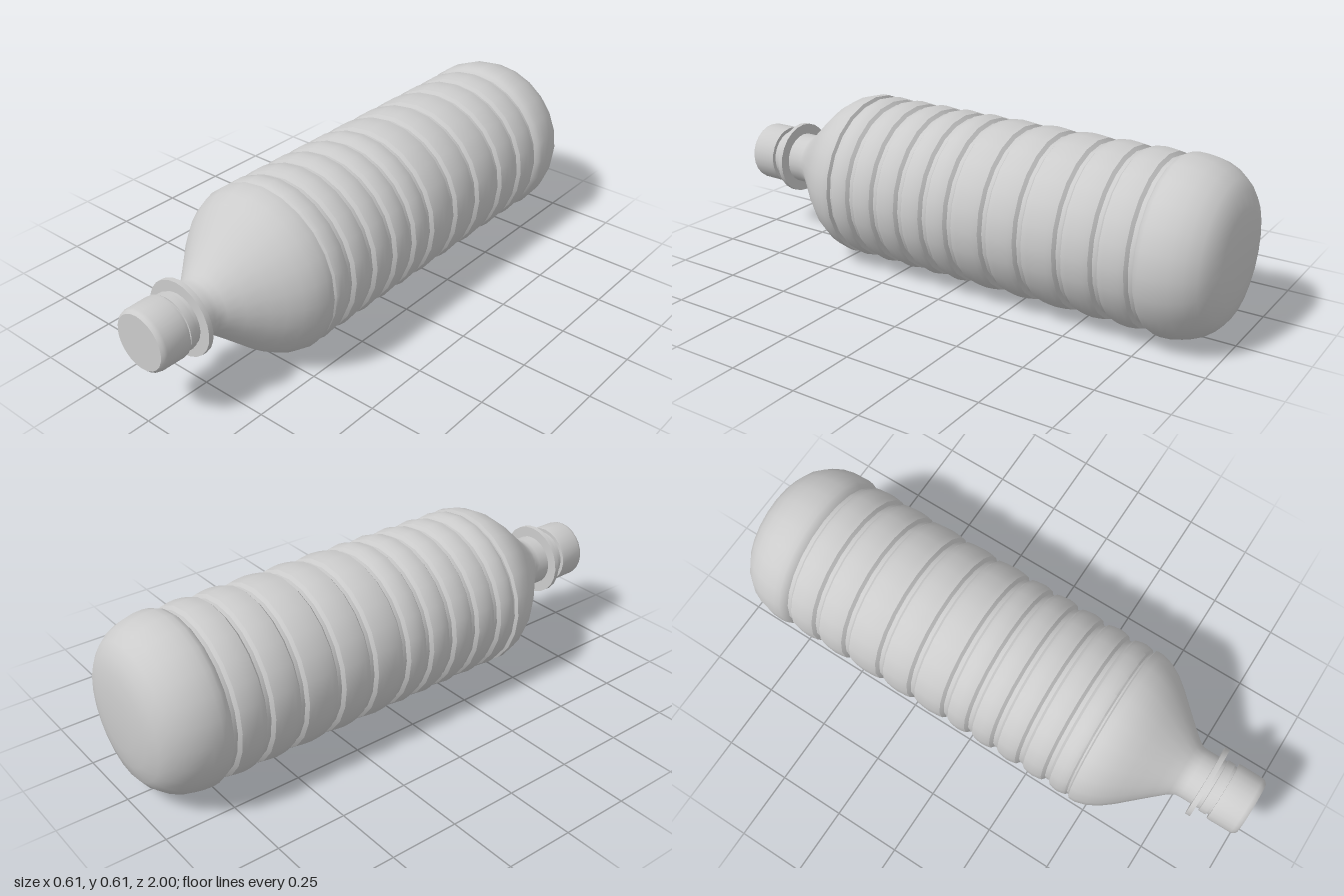
import * as THREE from 'three';
import { toCreasedNormals } from 'three/addons/utils/BufferGeometryUtils.js';

const SIDES = 24;
const AXIS_HEIGHT = 0.306;
const material = new THREE.MeshStandardMaterial({ color: 0xcccccc, side: THREE.DoubleSide });

// Turn a profile of [radius, z] pairs, running from back to front, around the z axis.
function turned(name, profile) {
  const points = profile.map(([r, z]) => new THREE.Vector2(r, z));
  const lathe = new THREE.LatheGeometry(points, SIDES).rotateX(Math.PI / 2);
  const mesh = new THREE.Mesh(toCreasedNormals(lathe, 0.6), material);
  mesh.name = name;
  return mesh;
}

// Ribbed wall: a narrow groove at each position, gently bulging ribs between.
function ribbedWall() {
  const grooves = [-0.746, -0.622, -0.492, -0.345, -0.21, -0.07, 0.033, 0.138, 0.245, 0.352];
  const end = 0.432;
  const profile = [];
  grooves.forEach((z, i) => {
    const next = i + 1 < grooves.length ? grooves[i + 1] - 0.017 : end;
    const start = z + 0.017;
    profile.push([0.297, z - 0.017], [0.285, z - 0.007], [0.285, z + 0.007], [0.297, start]);
    for (const t of [0.2, 0.5, 0.8]) {
      profile.push([0.297 + 0.006 * Math.sin(Math.PI * t), start + (next - start) * t]);
    }
  });
  profile.push([0.297, end]);
  return profile;
}

export function createModel() {
  const bottle = new THREE.Group();
  bottle.name = 'bottle';

  // Rounded base, ribbed wall, shoulder and neck in one continuous skin
  const base = [
    [0, -1], [0.1, -1], [0.16, -0.991], [0.215, -0.976], [0.25, -0.95], [0.277, -0.915],
    [0.295, -0.875], [0.304, -0.835], [0.306, -0.8], [0.303, -0.778],
  ];
  const shoulder = [
    [0.29, 0.438], [0.29, 0.444], [0.302, 0.45], [0.302, 0.475], [0.29, 0.515], [0.268, 0.555],
    [0.235, 0.597], [0.2, 0.635], [0.15, 0.69], [0.11, 0.735], [0.097, 0.757], [0.095, 0.775],
  ];
  const neck = [[0.095, 0.82], [0.095, 0.895]];
  bottle.add(turned('body', [...base, ...ribbedWall(), ...shoulder, ...neck]));

  // Support flange around the neck
  bottle.add(turned('neckFlange', [
    [0.09, 0.82], [0.134, 0.82], [0.134, 0.838], [0.09, 0.838],
  ]));

  // Seal ring between flange and cap
  bottle.add(turned('sealRing', [
    [0.09, 0.85], [0.101, 0.853], [0.101, 0.88], [0.09, 0.88],
  ]));

  // Screw cap with a softened front edge
  bottle.add(turned('cap', [
    [0, 0.89], [0.109, 0.89], [0.11, 0.9], [0.109, 0.982], [0.106, 0.992], [0.098, 1], [0, 1],
  ]));

  bottle.children.forEach((part) => { part.position.y = AXIS_HEIGHT; });
  return bottle;
}
